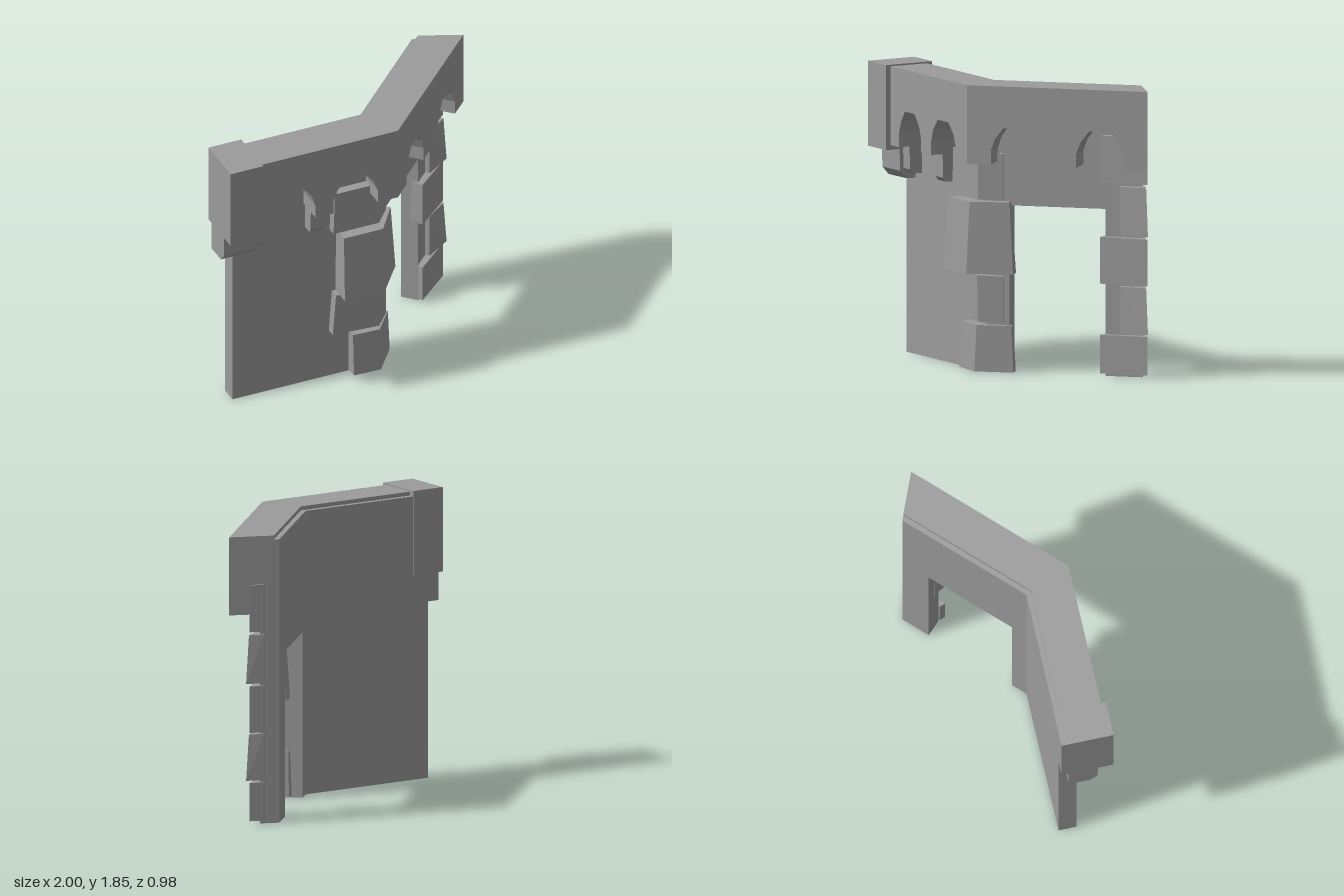
import * as THREE from 'three';
import { ConvexGeometry } from 'three/addons/geometries/ConvexGeometry.js';

const MITRE = Math.tan(Math.PI / 8);
const CORNER = [0.045, 0.16]; // inner bend of the wall's back face (x, z)

export function createModel() {
  const group = new THREE.Group();
  const material = new THREE.MeshStandardMaterial({ color: 0x9b9b9b, flatShading: true });

  const add = (name, geometry) => {
    const mesh = new THREE.Mesh(geometry, material);
    mesh.name = name;
    group.add(mesh);
  };

  // Extrudes an elevation outline from depth d0 to d1 in front of the back face,
  // and mitres its ends: startCut / endCut are sideways shifts per unit of depth.
  const slab = (name, points, d0, d1, startCut, endCut, angled) => {
    const shape = new THREE.Shape(points.map(([x, y]) => new THREE.Vector2(x, y)));
    const geo = new THREE.ExtrudeGeometry(shape, { depth: d1 - d0, bevelEnabled: false });
    geo.translate(0, 0, d0);
    const us = points.map((p) => p[0]);
    const lo = Math.min(...us), hi = Math.max(...us);
    const pos = geo.attributes.position;
    for (let i = 0; i < pos.count; i++) {
      const u = pos.getX(i), d = pos.getZ(i);
      if (Math.abs(u - lo) < 1e-4) pos.setX(i, u + startCut * d);
      if (Math.abs(u - hi) < 1e-4) pos.setX(i, u + endCut * d);
    }
    if (angled) {
      geo.rotateY(Math.PI / 4);
      geo.translate(CORNER[0], 0, CORNER[1]);
    } else {
      geo.translate(0, 0, CORNER[1]);
    }
    geo.computeVertexNormals();
    add(name, geo);
  };

  // Faceted arch notch along the parapet's lower edge
  const arch = (a, b) => [
    [0, 1.34], [0, 1.43], [0.09, 1.505], [0.27, 1.575],
    [0.7, 1.575], [0.91, 1.505], [1, 1.43], [1, 1.34],
  ].map(([t, y]) => [a + (b - a) * t, y]);

  // Walls: straight run, then the angled run with its doorway
  const END = 0.925, WALL = 0.115, TOP = 1.815;
  const BEND = CORNER[0];
  slab('straightWall', [[-0.89, 0], [BEND, 0], [BEND, TOP], [-0.89, TOP]], 0, WALL, 0, MITRE, false);
  slab('doorwayWall', [
    [0, 0], [0.107, 0], [0.107, 1.06], [0.728, 1.06], [0.728, 0], [END, 0], [END, TOP], [0, TOP],
  ], 0, WALL, -MITRE, MITRE, true);

  // Overhanging arched parapets
  const BACK = 0.033, FRONT = 0.298;
  slab('straightParapet', [
    [-0.79, 1.34], ...arch(-0.67, -0.4), ...arch(-0.275, 0.03), [BEND, 1.34], [BEND, 1.84], [-0.79, 1.84],
  ], BACK, FRONT, 0, MITRE, false);
  slab('angledParapet', [
    [0, 1.34], ...arch(0.032, 0.332), ...arch(0.586, 0.897), [END, 1.34], [END, 1.84], [0, 1.84],
  ], BACK, FRONT, -MITRE, MITRE, true);

  // End block capping the parapet
  const block = new THREE.BoxGeometry(0.225, 0.54, 0.335);
  block.translate(-0.8875, 1.58, 0.3225);
  add('endBlock', block);

  // Corbels with a chamfered lower front edge
  const corbel = (x0, x1, y0, y1, z0, z1, chamfer) => {
    const shape = new THREE.Shape([
      [-z0, y0], [-z0, y1], [-z1, y1], [-z1 + 0.005, y0 + chamfer], [-z1 + chamfer, y0],
    ].map(([x, y]) => new THREE.Vector2(x, y)));
    const geo = new THREE.ExtrudeGeometry(shape, { depth: x1 - x0, bevelEnabled: false });
    geo.rotateY(Math.PI / 2);
    geo.translate(x0, 0, 0);
    add('corbel', geo);
  };
  corbel(-1, -0.78, 1.12, 1.32, 0.2, 0.39, 0.05);
  corbel(-0.78, -0.7, 1.16, 1.35, 0.25, 0.365, 0.027);
  corbel(-0.39, -0.29, 1.16, 1.35, 0.25, 0.365, 0.027);

  // Rough stones: plan outlines at the bottom and top; tilt slopes them along x
  const stone = (name, y0, y1, bottom, top = bottom, tilt = 0) => add(name, new ConvexGeometry([
    ...bottom.map(([x, z]) => new THREE.Vector3(x, y0 + tilt * x, z)),
    ...top.map(([x, z]) => new THREE.Vector3(x, y1 + tilt * x, z)),
  ]));

  // Bent stones wrapping the wall's corner beside the door
  const bent = (left, front, rx, rz, bx, bz) => [
    [left, 0.25], [left, front], [0.095, front], [rx, rz], [bx, bz],
  ];
  stone('cornerStone', 0.01, 0.303, bent(-0.09, 0.36, 0.245, 0.165, 0.2, 0.12), bent(-0.09, 0.345, 0.23, 0.17, 0.195, 0.135), -0.03);
  stone('cornerStone', 0.326, 0.62, bent(-0.225, 0.335, 0.2, 0.21, 0.17, 0.185), bent(-0.205, 0.34, 0.2, 0.21, 0.17, 0.185), -0.05);
  stone('cornerStone', 0.63, 1.085, bent(-0.18, 0.42, 0.275, 0.185, 0.22, 0.13), bent(-0.175, 0.395, 0.24, 0.19, 0.21, 0.16));
  stone('cornerStone', 1.095, 1.39, bent(-0.22, 0.335, 0.2, 0.21, 0.17, 0.185), bent(-0.21, 0.335, 0.2, 0.21, 0.17, 0.185));

  // Stones on the far side of the door: wide ones alternate with narrow ones
  const wide = (left, leftZ) => [[left, leftZ], [0.65, -0.23], [0.885, -0.435], [0.8, -0.467], [0.72, -0.4]];
  const narrow = (right) => [[0.72, -0.345], [0.74, -0.318], [right, -0.427], [0.8, -0.47], [0.74, -0.4]];
  stone('jambStone', 0.02, 0.265, wide(0.637, -0.265));
  stone('jambStone', 0.28, 0.575, narrow(0.907), narrow(0.885));
  stone('jambStone', 0.603, 0.9, wide(0.6, -0.31), wide(0.61, -0.3), -0.02);
  stone('jambStone', 0.9, 1.21, narrow(0.907), narrow(0.885));
  stone('jambStone', 1.23, 1.53, wide(0.635, -0.265));

  return group;
}
